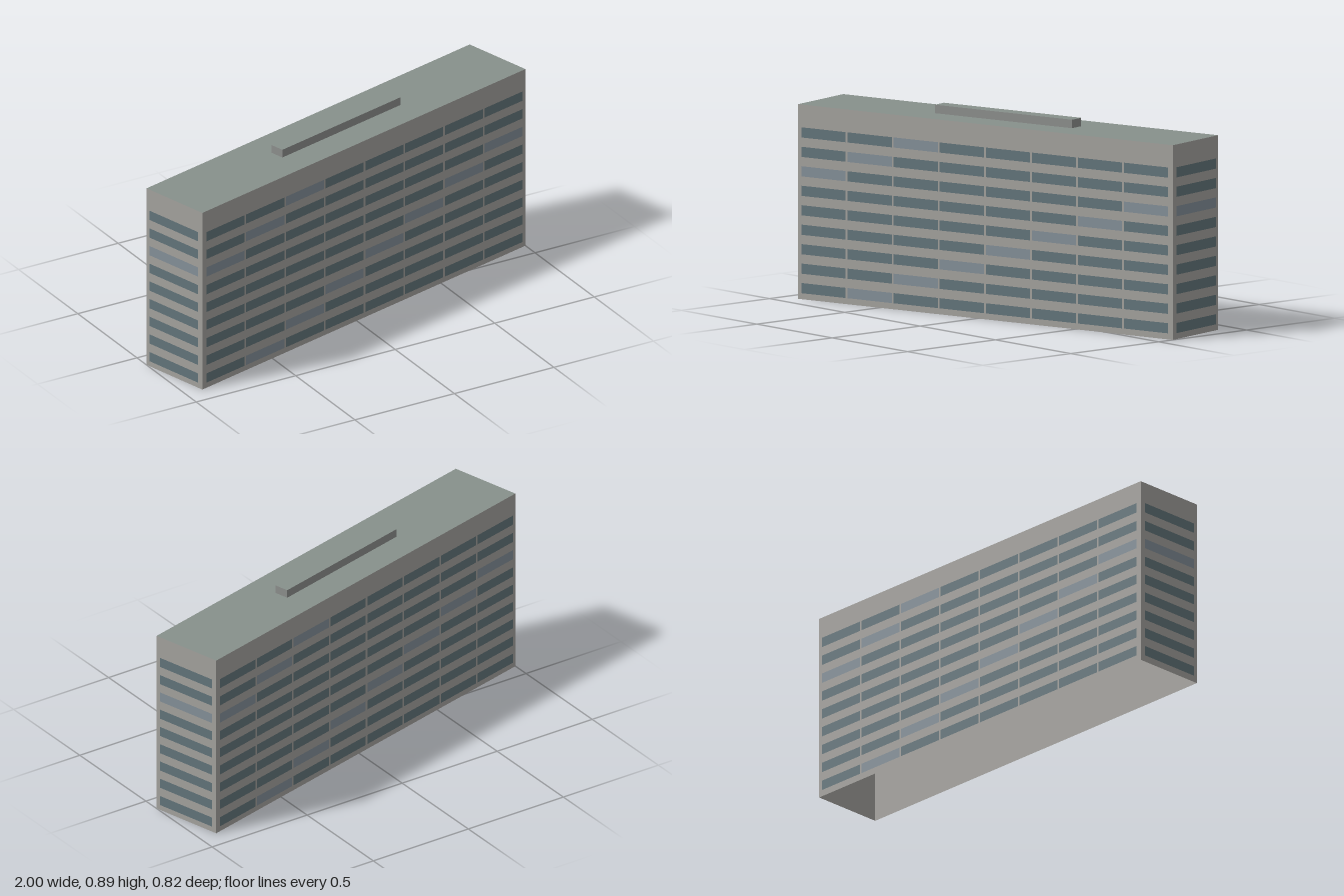
import * as THREE from 'three';

const LENGTH = 1.977, DEPTH = 0.34, HEIGHT = 0.851;
const FLOORS = 9, FLOOR_PITCH = 0.0851, FIRST_FLOOR = 0.0493;
const PANE_HEIGHT = 0.0445, PANE_GAP = 0.01, CORNER_MARGIN = 0.033, PANE_OFFSET = 0.004;

const paint = (color) => new THREE.MeshStandardMaterial({ color, side: THREE.DoubleSide });

export function createModel() {
  const model = new THREE.Group();
  model.name = 'officeBlock';
  model.rotation.y = 0.2505;

  const wall = paint(0xa3a19d);
  const roofing = paint(0x87908b);
  const darkGlass = paint(0x62747a);
  const lightGlass = paint(0x838f98);
  const hutWall = paint(0x8c8e8c);

  // One facade: a wall with rows of window panes, facing +z before it is turned
  function facade(name, width, distance, columns, turn) {
    const side = new THREE.Group();
    side.name = name;
    side.rotation.y = turn;

    const panel = new THREE.Mesh(new THREE.PlaneGeometry(width, HEIGHT), wall);
    panel.name = 'wall';
    panel.position.set(0, HEIGHT / 2, distance);
    side.add(panel);

    const cell = (width - CORNER_MARGIN) / columns;
    const paneGeometry = new THREE.PlaneGeometry(cell - PANE_GAP, PANE_HEIGHT);
    for (let row = 0; row < FLOORS; row++) {
      for (let col = 0; col < columns; col++) {
        // Lighter panes step diagonally across the floors
        const light = (col - row - 1) % 7 === 0;
        const pane = new THREE.Mesh(paneGeometry, light ? lightGlass : darkGlass);
        pane.name = 'window';
        pane.position.set(
          (col - (columns - 1) / 2) * cell,
          FIRST_FLOOR + row * FLOOR_PITCH,
          distance + PANE_OFFSET
        );
        side.add(pane);
      }
    }
    model.add(side);
  }

  facade('frontFacade', LENGTH, DEPTH / 2, 8, 0);
  facade('leftFacade', DEPTH, LENGTH / 2, 1, Math.PI / 2);
  facade('backFacade', LENGTH, DEPTH / 2, 8, Math.PI);
  facade('rightFacade', DEPTH, LENGTH / 2, 1, -Math.PI / 2);

  // Flat roof; the base of the building is open
  const roof = new THREE.Mesh(new THREE.PlaneGeometry(LENGTH, DEPTH), roofing);
  roof.name = 'roof';
  roof.rotation.x = -Math.PI / 2;
  roof.position.y = HEIGHT;
  model.add(roof);

  // Low plant room on the roof
  const hutHeight = 0.037;
  const hut = new THREE.Mesh(
    new THREE.BoxGeometry(0.724, hutHeight, 0.068),
    [hutWall, hutWall, roofing, hutWall, hutWall, hutWall]
  );
  hut.name = 'roofPlantRoom';
  hut.position.y = HEIGHT + hutHeight / 2;
  model.add(hut);

  const group = new THREE.Group();
  group.name = 'building';
  group.add(model);
  return group;
}
